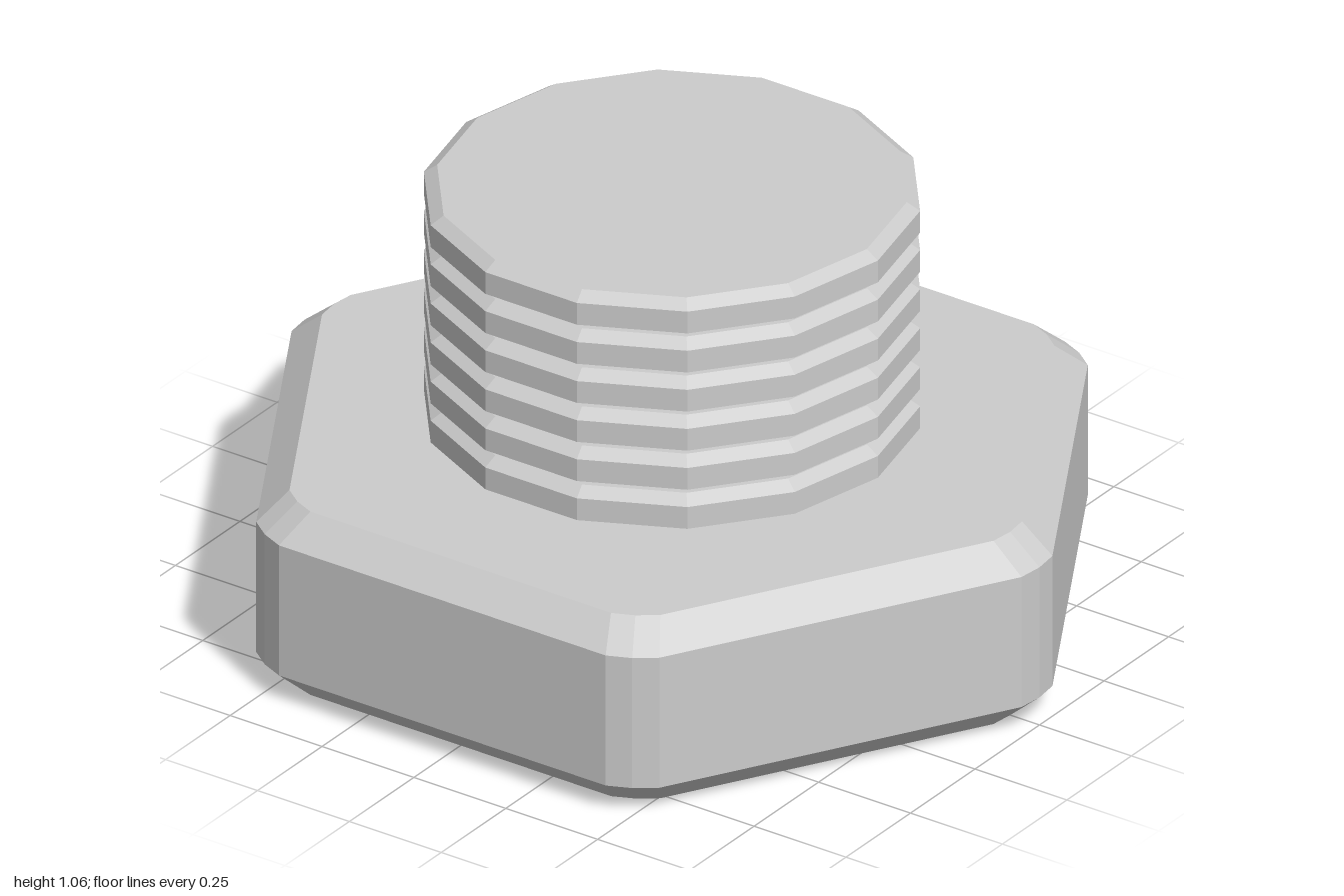
import * as THREE from 'three';

const material = new THREE.MeshStandardMaterial({ color: 0xcccccc, flatShading: true });

// Lathed part with hard facets; outline (optional) maps each segment to a plan point
function facetedLathe(name, profile, segments, outline) {
  const points = profile.map(([r, y]) => new THREE.Vector2(r, y));
  const lathe = new THREE.LatheGeometry(points, segments);
  if (outline) {
    const pos = lathe.attributes.position;
    for (let i = 0; i <= segments; i++) {
      const [x, z] = outline[i % segments];
      profile.forEach(([s, y], j) => pos.setXYZ(i * profile.length + j, x * s, y, z * s));
    }
  }
  const geometry = lathe.toNonIndexed();
  geometry.computeVertexNormals();
  const mesh = new THREE.Mesh(geometry, material);
  mesh.name = name;
  return mesh;
}

export function createModel() {
  const group = new THREE.Group();
  group.name = 'hexBolt';

  // Hexagon with small rounded corners, two of them on the x axis
  const outline = [];
  for (let k = 0; k < 6; k++) {
    const a = Math.PI / 6 + (k * Math.PI) / 3;
    for (const [radial, side] of [[0.993, -0.06], [1, 0], [0.993, 0.06]]) {
      outline.push([
        radial * Math.sin(a) + side * Math.cos(a),
        radial * Math.cos(a) - side * Math.sin(a),
      ]);
    }
  }

  // Bevelled head, profile given as scale and height
  group.add(facetedLathe('head',
    [[0, 0], [0.92, 0], [1, 0.07], [1, 0.4], [0.92, 0.465], [0, 0.465]], 18, outline));

  // Shank with six bevelled ridges
  const ridges = 6, bottom = 0.465, pitch = (1.06 - bottom) / ridges;
  const profile = [[0, bottom]];
  for (let i = 0; i < ridges; i++) {
    const y = bottom + i * pitch;
    profile.push([0.515, y], [0.56, y + 0.024], [0.56, y + pitch - 0.02],
      [0.53, y + pitch]);
  }
  profile.push([0, 1.06]);
  const shank = facetedLathe('threadedShank', profile, 14);
  shank.rotation.y = Math.PI / 2;
  group.add(shank);

  return group;
}
